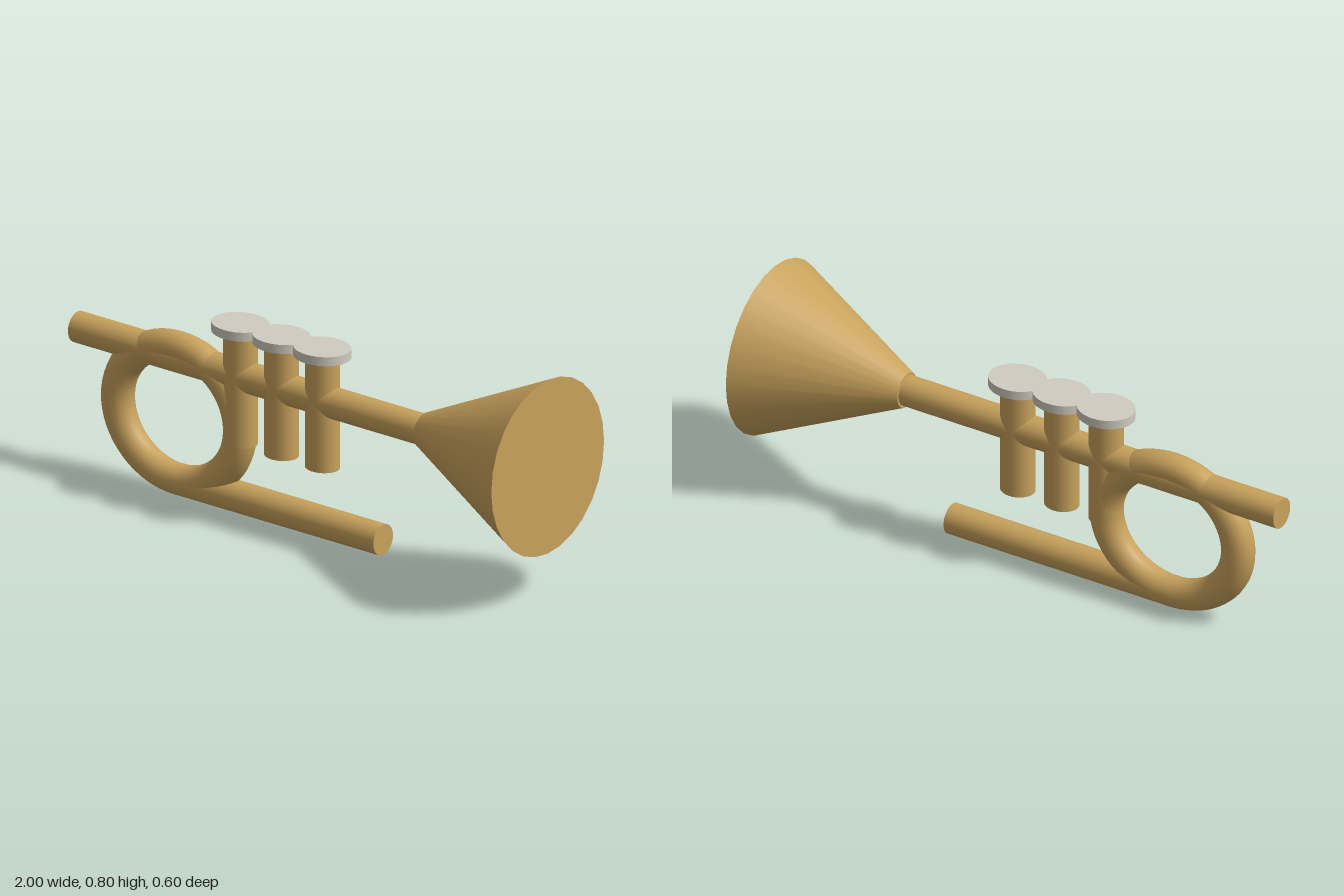
import * as THREE from 'three';

export function createModel() {
  const model = new THREE.Group();
  const brass = new THREE.MeshStandardMaterial({ name: 'brass', color: 0xc8a25c });
  const silver = new THREE.MeshStandardMaterial({ name: 'silver', color: 0xd0ccc0 });

  const add = (name, geometry, material, x, y) => {
    geometry.translate(x, y, 0);
    const mesh = new THREE.Mesh(geometry, material);
    mesh.name = name;
    model.add(mesh);
  };

  // Horizontal tube from x0 to x1, slightly flattened in depth
  const tube = (name, x0, x1, y, r0, r1, sides) => {
    const g = new THREE.CylinderGeometry(r1, r0, x1 - x0, sides);
    g.rotateZ(-Math.PI / 2).scale(1, 1, 0.962);
    add(name, g, brass, (x0 + x1) / 2, y);
  };

  // Upright elliptical cylinder
  const upright = (name, x, y0, y1, rx, rz, material) => {
    const g = new THREE.CylinderGeometry(1, 1, y1 - y0, 32);
    g.scale(rx, 1, rz);
    add(name, g, material, x, (y0 + y1) / 2);
  };

  // Main pipe, flared bell and lower pipe
  tube('mainPipe', -1, 0.49, 0.491, 0.054, 0.054, 32);
  tube('bell', 0.477, 1, 0.491, 0.062, 0.31, 28);
  tube('lowerPipe', -0.57, 0.3, 0.055, 0.054, 0.054, 32);

  // Oval loop of tubing
  const loop = new THREE.TorusGeometry(0.236, 0.054, 20, 64);
  loop.scale(1.1, 1, 0.962);
  add('loop', loop, brass, -0.569, 0.29);

  // Three valves, each with a finger button above
  [-0.308, -0.133, 0.041].forEach((x, i) => {
    upright(`valve${i + 1}`, x, 0.25, 0.638, 0.061, 0.053, brass);
    upright(`button${i + 1}`, x, 0.647, 0.679, 0.102, 0.088, silver);
  });

  return model;
}
